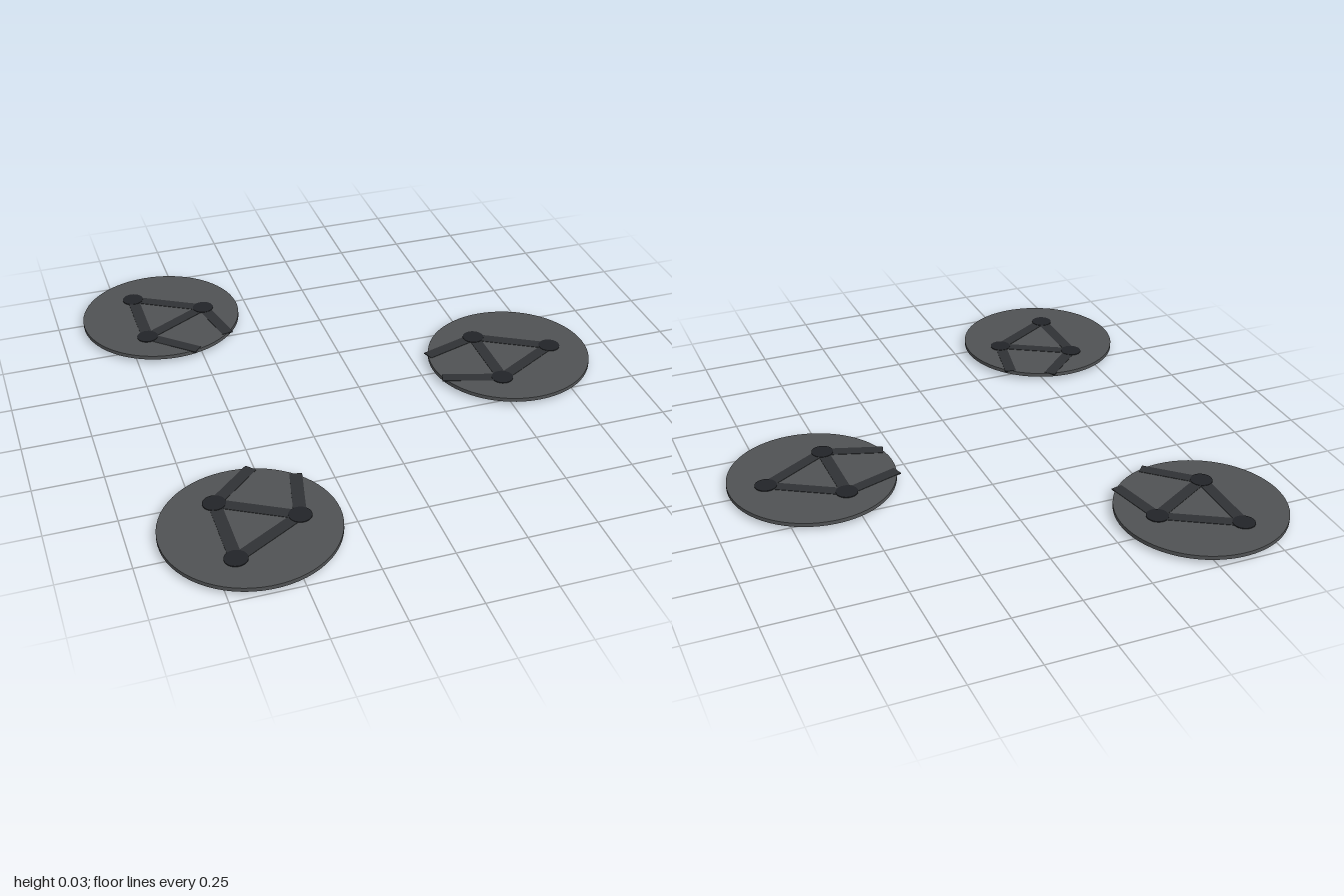
import * as THREE from 'three';

const material = (color) => new THREE.MeshStandardMaterial({ color });

export function createModel() {
  const model = new THREE.Group();
  model.name = 'landingPads';
  const plateMat = material(0x505254);
  const baseMat = material(0x222326);
  const strutMat = material(0x303235);
  const nodeMat = material(0x222428);

  function disc(parent, name, radius, bottom, top, mat, x = 0, z = 0, sides = 64) {
    const mesh = new THREE.Mesh(new THREE.CylinderGeometry(radius, radius, top - bottom, sides), mat);
    mesh.name = name;
    mesh.position.set(x, (top + bottom) / 2, z);
    parent.add(mesh);
  }

  // Flat bar between two points given as [x, z]
  function strut(parent, name, a, b) {
    const dx = b[0] - a[0], dz = b[1] - a[1];
    const mesh = new THREE.Mesh(new THREE.BoxGeometry(Math.hypot(dx, dz), 0.004, 0.044), strutMat);
    mesh.name = name;
    mesh.position.set((a[0] + b[0]) / 2, 0.029, (a[1] + b[1]) / 2);
    mesh.rotation.y = -Math.atan2(dz, dx);
    parent.add(mesh);
  }

  function createPad() {
    const pad = new THREE.Group();
    disc(pad, 'base', 0.278, 0, 0.015, baseMat);
    disc(pad, 'plate', 0.306, 0.015, 0.0295, plateMat);

    // Triangle of struts with a round node at each corner
    const corners = [0, 1, 2].map((i) => {
      const angle = (i * Math.PI * 2) / 3;
      return [0.17 * Math.cos(angle), 0.17 * Math.sin(angle)];
    });
    corners.forEach((corner, i) => {
      strut(pad, 'triangleStrut', corner, corners[(i + 1) % 3]);
      disc(pad, 'node', 0.04, 0.027, 0.0325, nodeMat, corner[0], corner[1], 32);
    });

    // Two arms converging inwards and ending just past the rim
    for (const side of [1, -1]) strut(pad, 'arm', [-0.085, side * 0.147], [-0.298, side * 0.079]);
    return pad;
  }

  // Three pads spaced evenly on a circle, arms facing its centre
  for (let i = 0; i < 3; i++) {
    const angle = (i * Math.PI * 2) / 3;
    const pad = createPad();
    pad.name = 'pad' + (i + 1);
    pad.position.set(-0.2 + 0.8 * Math.cos(angle), 0, 0.8 * Math.sin(angle));
    pad.rotation.y = -angle;
    model.add(pad);
  }
  return model;
}
